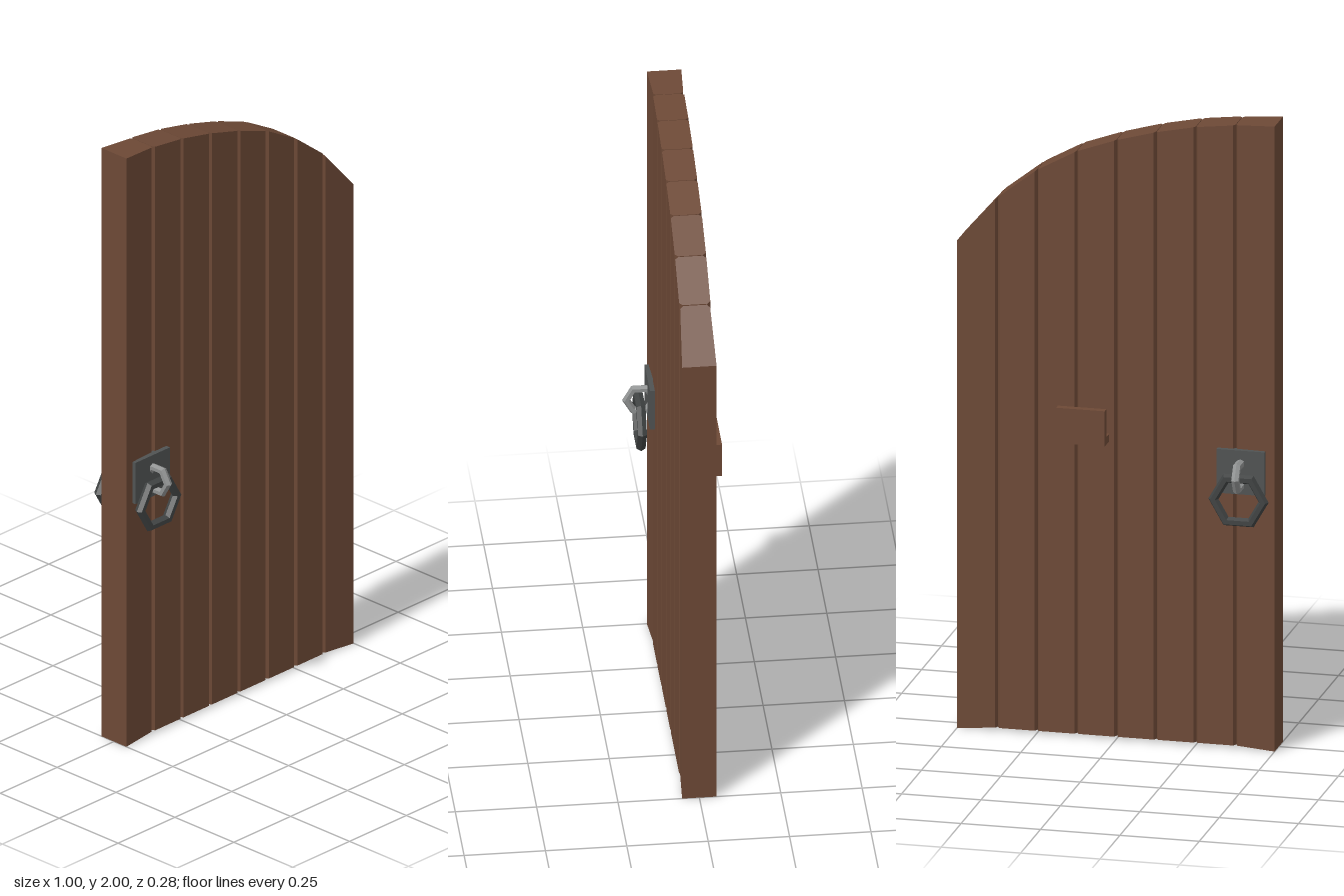
import * as THREE from 'three';

const mat = (name, color) => {
  const m = new THREE.MeshStandardMaterial({ color, flatShading: true });
  m.name = name;
  return m;
};

// Plank: bevelled plan section extruded upward, ends then sloped along x
function plankGeometry(x0, x1, d0, d1, bottomAt, topAt) {
  const g = 0.001, bx = 0.006, bz = 0.01;
  const a = x0 + (x0 > -0.5 ? g : 0), b = x1 - (x1 < 0.5 ? g : 0);
  const half = [];
  if (x0 > -0.5) half.push([a, d0 - bz], [a + bx, d0]);
  else half.push([a, d0]);
  if (x1 < 0.5) half.push([b - bx, d1], [b, d1 - bz]);
  else half.push([b, d1]);
  const outline = [...half, ...half.slice().reverse().map(([x, z]) => [x, -z])];
  const shape = new THREE.Shape(outline.map(([x, z]) => new THREE.Vector2(x, z)));
  const geo = new THREE.ExtrudeGeometry(shape, { depth: 1, bevelEnabled: false });
  geo.rotateX(-Math.PI / 2);
  const p = geo.attributes.position;
  for (let i = 0; i < p.count; i++) {
    const t = (p.getX(i) - x0) / (x1 - x0);
    p.setY(i, p.getY(i) > 0.5 ? topAt(t) : bottomAt(t));
  }
  geo.computeVertexNormals();
  return geo;
}

export function createModel() {
  const wood = mat('brown wood', 0x6d4936);
  const plateIron = mat('plate iron', 0x505353);
  const ringIron = mat('dark ring iron', 0x404343);
  const steel = mat('light steel', 0x909292);

  const door = new THREE.Group();
  door.name = 'door';
  const add = (parent, name, geo, material, x = 0, y = 0, z = 0) => {
    const m = new THREE.Mesh(geo, material);
    m.name = name;
    m.position.set(x, y, z);
    parent.add(m);
    return m;
  };

  // Eight planks under a half arch
  const tops = [2.0, 1.993, 1.978, 1.952, 1.917, 1.872, 1.803, 1.705, 1.56];
  const lerp = THREE.MathUtils.lerp;
  for (let i = 0; i < 8; i++) {
    const x0 = -0.5 + i * 0.125;
    const d0 = i === 0 ? 0.053 : i === 7 ? 0.046 : 0.048;
    const d1 = i === 7 ? 0.053 : i === 0 ? 0.046 : 0.048;
    const b0 = i === 0 ? 0 : 0.008, b1 = i === 7 ? 0 : 0.008;
    add(door, `plank${i + 1}`, plankGeometry(x0, x0 + 0.125, d0, d1,
      t => lerp(b0, b1, t), t => lerp(tops[i], tops[i + 1], t)), wood);
  }

  // Handle on each face: plate, hexagonal staple and hanging hexagonal ring
  for (const side of [1, -1]) {
    const handle = new THREE.Group();
    handle.name = side > 0 ? 'frontHandle' : 'backHandle';
    add(handle, 'handlePlate', new THREE.BoxGeometry(0.152, 0.14, 0.022), plateIron, -0.395, 0.888, 0.052);
    const staple = new THREE.TorusGeometry(0.043, 0.013, 6, 6);
    staple.rotateY(Math.PI / 2);
    add(handle, 'staple', staple, steel, -0.395, 0.882, 0.085);
    add(handle, 'ring', new THREE.TorusGeometry(0.079, 0.016, 6, 6), ringIron, -0.395, 0.806, 0.087);
    if (side < 0) {
      handle.rotation.y = Math.PI;
      handle.position.x = -0.79;
    }
    door.add(handle);
  }

  // L-shaped bar bracket on the back
  const profile = new THREE.Shape([
    [0.045, 0.952], [0.105, 0.952], [0.105, 1.065], [0.082, 1.065], [0.082, 0.976], [0.045, 0.976],
  ].map(([z, y]) => new THREE.Vector2(z, y)));
  const bracket = new THREE.ExtrudeGeometry(profile, { depth: 0.153, bevelEnabled: false });
  bracket.rotateY(Math.PI / 2);
  bracket.rotateY(Math.PI);
  bracket.rotateY(0);
  bracket.computeBoundingBox();
  const box = bracket.boundingBox;
  // Profile depth runs toward -z once turned a quarter
  if (box.max.z > 0) bracket.rotateY(Math.PI);
  bracket.computeBoundingBox();
  bracket.translate(0.022 - bracket.boundingBox.min.x, 0, 0);
  add(door, 'barBracket', bracket, wood);

  return door;
}
